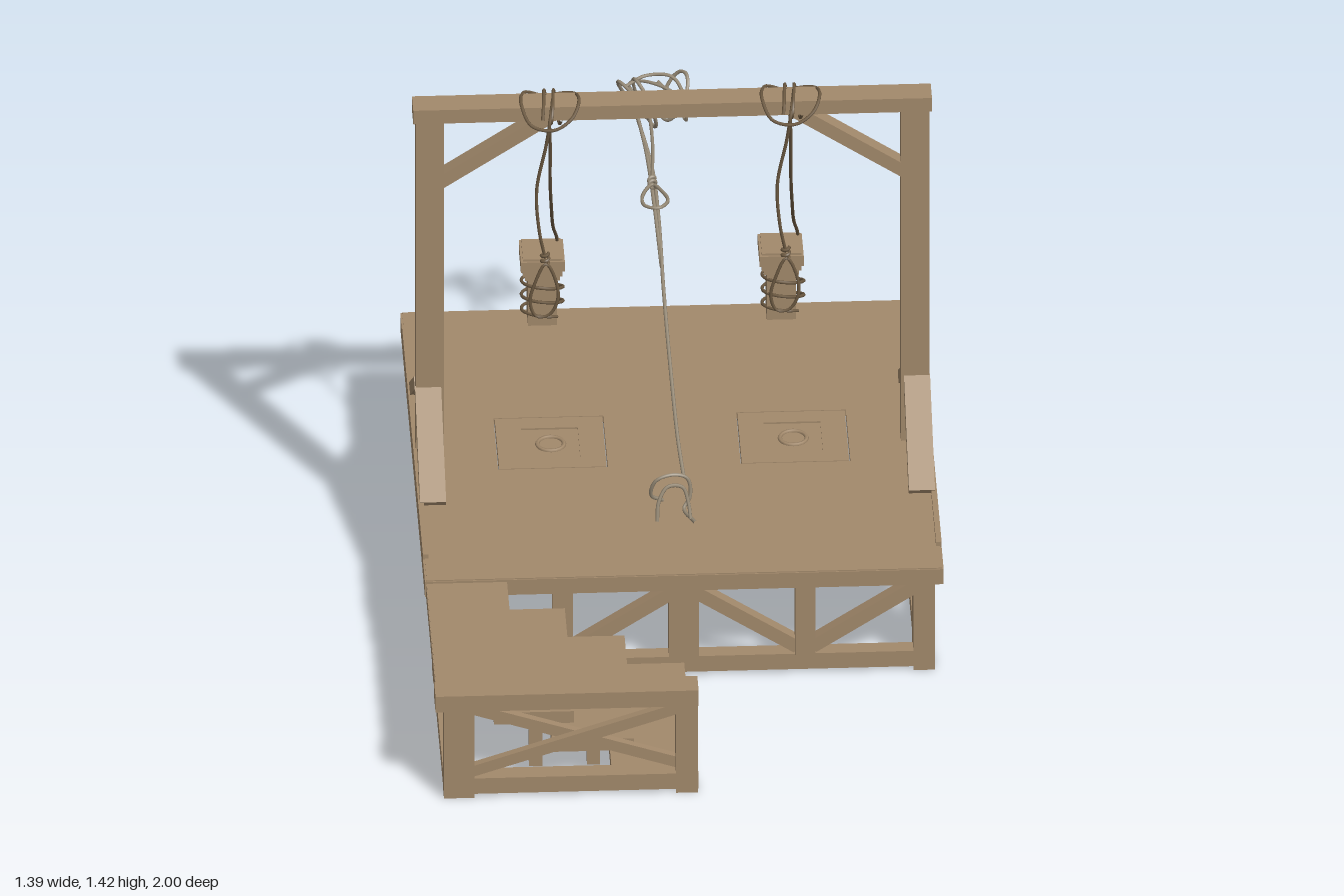
import * as THREE from 'three';

const wood = new THREE.MeshStandardMaterial({ name: 'wood', color: 0xa2896b });
const darkRope = new THREE.MeshStandardMaterial({ name: 'darkRope', color: 0x6e5b43 });
const paleRope = new THREE.MeshStandardMaterial({ name: 'paleRope', color: 0x968a76 });

// Box given by its minimum and maximum on each axis
function box(parent, name, x0, x1, y0, y1, z0, z1) {
  const m = new THREE.Mesh(new THREE.BoxGeometry(x1 - x0, y1 - y0, z1 - z0), wood);
  m.position.set((x0 + x1) / 2, (y0 + y1) / 2, (z0 + z1) / 2);
  m.name = name;
  parent.add(m);
}

// Slanted timber in an x-y plane
function braceX(parent, name, xa, ya, xb, yb, z, thick, depth) {
  const m = new THREE.Mesh(new THREE.BoxGeometry(Math.hypot(xb - xa, yb - ya), thick, depth), wood);
  m.position.set((xa + xb) / 2, (ya + yb) / 2, z);
  m.rotation.z = Math.atan2(yb - ya, xb - xa);
  m.name = name;
  parent.add(m);
}

// Slanted timber in a z-y plane
function braceZ(parent, name, za, ya, zb, yb, x, thick, width) {
  const m = new THREE.Mesh(new THREE.BoxGeometry(width, thick, Math.hypot(zb - za, yb - ya)), wood);
  m.position.set(x, (ya + yb) / 2, (za + zb) / 2);
  m.rotation.x = -Math.atan2(yb - ya, zb - za);
  m.name = name;
  parent.add(m);
}

function rope(parent, name, pts, material, closed = false) {
  const curve = new THREE.CatmullRomCurve3(pts.map(p => new THREE.Vector3(...p)), closed);
  const r = material === darkRope ? 0.0045 : 0.005;
  const m = new THREE.Mesh(new THREE.TubeGeometry(curve, pts.length * 6, r, 6, closed), material);
  m.name = name;
  parent.add(m);
}

// Points of a winding path from a rule
const wind = (n, f) => Array.from({ length: n + 1 }, (_, i) => f(i / n));

// Rectangle outline; y in the shape is -z in the model
function rect(target, x0, x1, z0, z1) {
  return target.moveTo(x0, -z1).lineTo(x1, -z1).lineTo(x1, -z0).lineTo(x0, -z0).closePath();
}

function slab(parent, name, shape, y0, y1) {
  const geo = new THREE.ExtrudeGeometry(shape, { depth: y1 - y0, bevelEnabled: false });
  const m = new THREE.Mesh(geo.rotateX(-Math.PI / 2), wood);
  m.position.y = y0;
  m.name = name;
  parent.add(m);
}

function platform() {
  const g = new THREE.Group();
  g.name = 'platform';
  const deck = rect(new THREE.Shape(), -0.69, 0.69, -0.978, 0.402);

  // Flush trapdoors with a square ring seat and a ring handle
  for (const x of [-0.325, 0.325]) {
    deck.holes.push(rect(new THREE.Path(), x - 0.147, x + 0.147, -0.422, -0.158));
    const door = rect(new THREE.Shape(), x - 0.144, x + 0.144, -0.419, -0.161);
    door.holes.push(rect(new THREE.Path(), x - 0.076, x + 0.076, -0.366, -0.214));
    slab(g, 'trapdoor', door, 0.302, 0.325);
    box(g, 'trapdoorSeat', x - 0.076, x + 0.076, 0.302, 0.32, -0.366, -0.214);
    const ring = new THREE.Mesh(new THREE.TorusGeometry(0.036, 0.006, 6, 20), wood);
    ring.rotation.x = Math.PI / 2;
    ring.position.set(x, 0.321, -0.29);
    ring.name = 'trapdoorRing';
    g.add(ring);
  }
  slab(g, 'deck', deck, 0.305, 0.325);

  for (const [z0, z1] of [[0.33, 0.405], [-0.98, -0.91]]) {
    box(g, 'endTopRail', -0.695, 0.695, 0.275, 0.322, z0, z1);
    box(g, 'endBottomRail', -0.67, 0.67, 0.01, 0.058, z0 + 0.012, z1 - 0.017);
  }
  for (const s of [-1, 1]) {
    const side = (name, a, b, ...r) => box(g, name, Math.min(s * a, s * b), Math.max(s * a, s * b), ...r);
    side('sideTopRail', 0.625, 0.695, 0.275, 0.322, -0.91, 0.33);
    side('sideBottomRail', 0.62, 0.67, 0.01, 0.058, -0.9, 0.33);
    side('sideLip', 0.68, 0.695, 0.32, 0.338, -0.88, 0.29);
    side('frontCornerPost', 0.615, 0.672, 0, 0.28, 0.31, 0.392);
    side('backCornerPost', 0.615, 0.672, 0, 0.28, -0.965, -0.885);
    for (let i = 0; i < 5; i++) {
      const z = 0.235 - 0.255 * i;
      side('sideStud', 0.625, 0.665, 0.055, 0.28, z - 0.027, z + 0.027);
    }
    // End walls: a stud and two diagonals per half
    for (const [z, lo] of [[0.365, 0.075], [-0.945, 0.255]]) {
      const hi = 0.33 - lo;
      side('endStud', 0.298, 0.352, 0.055, 0.28, z - 0.025, z + 0.025);
      braceX(g, 'endBrace', s * 0.03, hi, s * 0.305, lo, z, 0.038, 0.036);
      braceX(g, 'endBrace', s * 0.345, lo, s * 0.62, hi, z, 0.038, 0.036);
    }
  }
  for (const z of [0.365, -0.945]) box(g, 'middleStud', -0.04, 0.04, 0.055, 0.28, z - 0.025, z + 0.025);

  // Tying posts with stepped caps
  for (const x of [-0.318, 0.322]) {
    const layers = [[0.039, 0.32, 0.47], [0.047, 0.47, 0.486], [0.053, 0.486, 0.504],
      [0.059, 0.504, 0.535], [0.053, 0.535, 0.541]];
    for (const [h, y0, y1] of layers) box(g, 'tyingPost', x - h, x + h, y0, y1, -0.932 - h, -0.932 + h);
  }
  return g;
}

function frame() {
  const g = new THREE.Group();
  g.name = 'uprightFrame';
  box(g, 'crossbeam', -0.695, 0.695, 1.358, 1.4, -0.325, -0.25);
  for (const s of [-1, 1]) {
    box(g, 'uprightPost', s * 0.65 - 0.038, s * 0.65 + 0.038, 0.32, 1.36, -0.312, -0.255);
    braceX(g, 'upperBrace', s * 0.645, 1.149, s * 0.33, 1.359, -0.284, 0.037, 0.045);
    for (const d of [-1, 1])
      braceZ(g, 'footBrace', -0.284 + d * 0.3, 0.325, -0.284 + d * 0.015, 0.517, s * 0.655, 0.036, 0.07);
  }
  return g;
}

function stairs() {
  const g = new THREE.Group();
  g.name = 'stairs';
  // Landing and treads step down toward the middle
  const edges = [-0.69, -0.475, -0.32, -0.16, 0];
  for (let i = 0; i < 4; i++) {
    const top = 0.316 - 0.09 * i;
    const x0 = i ? edges[i] - 0.06 : edges[i];
    box(g, i ? 'tread' : 'landing', x0, edges[i + 1], top - 0.036, top, 0.4, 0.93);
    if (i === 1 || i === 2)
      for (const z of [0.43, 0.9])
        box(g, 'treadSupport', edges[i] + 0.035, edges[i] + 0.07, 0.05, top - 0.03, z - 0.018, z + 0.018);
  }
  // Front wall
  box(g, 'frontTopRail', -0.695, 0.01, 0.275, 0.324, 0.925, 1);
  box(g, 'frontBottomRail', -0.672, 0.01, 0.01, 0.058, 0.935, 0.988);
  box(g, 'frontPost', -0.672, -0.59, 0, 0.28, 0.932, 0.992);
  box(g, 'frontPost', -0.05, 0.008, 0, 0.28, 0.932, 0.992);
  braceX(g, 'frontBrace', -0.6, 0.075, -0.04, 0.26, 0.972, 0.032, 0.022);
  braceX(g, 'frontBrace', -0.6, 0.26, -0.04, 0.075, 0.95, 0.032, 0.022);
  // Outer side wall
  box(g, 'sideTopRail', -0.692, -0.63, 0.275, 0.314, 0.4, 0.93);
  box(g, 'sideBottomRail', -0.672, -0.62, 0.01, 0.055, 0.39, 0.94);
  braceZ(g, 'sideBrace', 0.4, 0.075, 0.935, 0.26, -0.655, 0.032, 0.02);
  braceZ(g, 'sideBrace', 0.4, 0.26, 0.935, 0.075, -0.635, 0.032, 0.02);
  return g;
}

// Rope tied to a post, wound on the crossbeam and hanging in a loop
function hangingRope(x) {
  const g = new THREE.Group();
  g.name = 'hangingRope';
  g.position.x = x;
  rope(g, 'postWinding', wind(30, t => {
    const a = t * Math.PI * 5 + 0.8;
    return [0.003 + 0.056 * Math.cos(a), 0.34 + 0.11 * t + 0.018 * Math.sin(a), -0.932 + 0.056 * Math.sin(a)];
  }), darkRope);
  rope(g, 'longRope', [[0.05, 0.45, -0.965], [0.045, 0.48, -0.995], [0.045, 0.54, -0.975], [0.03, 0.64, -0.88],
    [0.015, 0.83, -0.67], [0.005, 1, -0.53], [0, 1.2, -0.44], [-0.01, 1.35, -0.38], [-0.02, 1.408, -0.31]], darkRope);
  rope(g, 'beamWinding', wind(16, t => {
    const a = t * Math.PI * 4;
    return [-0.03 + 0.05 * t, 1.379 + 0.033 * Math.sin(a), -0.2875 + 0.07 * Math.cos(a)];
  }), darkRope);
  // Loose turns that cross over the beam at each end
  rope(g, 'beamLoop', [[-0.085, 1.408, -0.25], [-0.06, 1.365, -0.215], [0, 1.355, -0.205], [0.05, 1.38, -0.225],
    [0.07, 1.408, -0.27], [0.05, 1.385, -0.35], [-0.02, 1.36, -0.38], [-0.07, 1.39, -0.35]], darkRope, true);
  rope(g, 'drop', [[0, 1.408, -0.28], [-0.01, 1.38, -0.215], [-0.02, 1.3, -0.222], [-0.045, 1.15, -0.236],
    [-0.038, 1.02, -0.242], [-0.022, 0.93, -0.25]], darkRope);
  rope(g, 'knot', wind(12, t => [-0.022 + 0.01 * Math.cos(t * 13), 0.945 - 0.035 * t, -0.25 + 0.01 * Math.sin(t * 13)]), darkRope);
  rope(g, 'loop', [[-0.02, 0.91, -0.25], [-0.05, 0.85, -0.247], [-0.062, 0.79, -0.25], [-0.045, 0.745, -0.253],
    [-0.012, 0.75, -0.25], [0.012, 0.8, -0.247], [0.006, 0.86, -0.25]], darkRope, true);
  return g;
}

// Untied rope with a coil at the back and a loose end on the deck
function looseRope() {
  const g = new THREE.Group();
  g.name = 'looseRope';
  rope(g, 'tail', [[0.022, 0.33, -0.09], [0.01, 0.4, -0.17], [-0.005, 0.56, -0.31], [-0.015, 0.7, -0.44],
    [-0.02, 0.82, -0.63], [-0.03, 0.88, -0.78], [-0.06, 0.96, -0.88], [-0.085, 1.04, -0.91]], paleRope);
  rope(g, 'secondStrand', [[-0.018, 0.74, -0.5], [-0.03, 0.84, -0.65], [-0.045, 0.91, -0.83], [-0.07, 1, -0.9]], paleRope);
  // Tilted oval turns of the coil
  for (const [x, y, rx, ry, tilt] of [[-0.075, 1.03, 0.02, 0.08, 0.5], [-0.045, 1.02, 0.018, 0.085, 0.3],
    [-0.02, 1.05, 0.065, 0.03, 0], [0.035, 1.04, 0.02, 0.065, -0.5]])
    rope(g, 'coilTurn', wind(11, t => {
      const a = t * Math.PI * 11 / 6;
      const u = rx * Math.sin(a), v = ry * Math.cos(a);
      return [x + u * Math.cos(tilt) - v * Math.sin(tilt), y + u * Math.sin(tilt) + v * Math.cos(tilt),
        -0.885 + 0.042 * Math.sin(a + tilt)];
    }), paleRope, true);
  rope(g, 'outerStrand', [[-0.1, 1.08, -0.87], [-0.04, 1.09, -0.91], [0.03, 1.09, -0.9], [0.062, 1.04, -0.87],
    [0.065, 0.965, -0.88], [0.045, 1.0, -0.92], [-0.01, 1.06, -0.93]], paleRope);
  rope(g, 'reach', [[-0.06, 1.05, -0.88], [-0.04, 1.045, -0.8], [-0.035, 1.038, -0.65], [-0.045, 1.035, -0.46]], paleRope);
  rope(g, 'knot', wind(12, t => [-0.045 + 0.009 * Math.cos(t * 13), 1.035 + 0.009 * Math.sin(t * 13), -0.47 + 0.04 * t]), paleRope);
  rope(g, 'loop', [[-0.045, 1.035, -0.44], [-0.075, 1.035, -0.38], [-0.07, 1.036, -0.33], [-0.035, 1.037, -0.315],
    [-0.008, 1.037, -0.35], [-0.025, 1.036, -0.41]], paleRope, true);
  rope(g, 'looseEnd', [[-0.04, 0.332, 0.03], [-0.072, 0.36, 0.05], [-0.06, 0.41, 0.06], [-0.015, 0.425, 0.055],
    [0.025, 0.41, 0.05], [0.032, 0.36, 0.06], [0.015, 0.332, 0.075], [0.042, 0.332, 0.15]], paleRope);
  rope(g, 'looseEndArc', [[-0.06, 0.332, 0.14], [-0.055, 0.38, 0.12], [-0.03, 0.415, 0.1], [0.01, 0.41, 0.095],
    [0.025, 0.37, 0.11], [0.03, 0.332, 0.13]], paleRope);
  return g;
}

export function createModel() {
  const model = new THREE.Group();
  model.name = 'timberPlatform';
  model.add(platform(), frame(), stairs(), hangingRope(-0.32), hangingRope(0.325), looseRope());
  return model;
}
